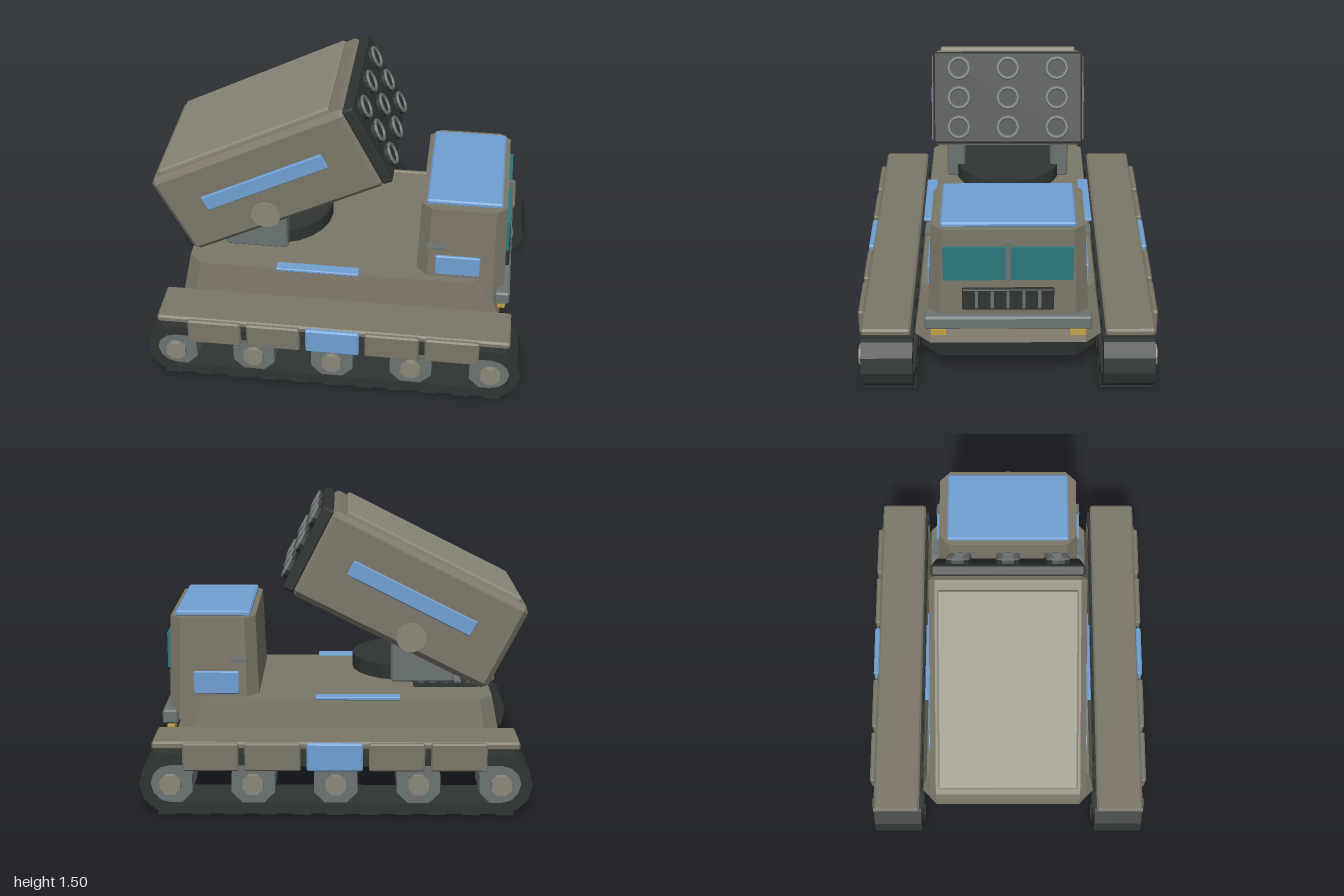
import * as THREE from 'three';
import { ConvexGeometry } from 'three/addons/geometries/ConvexGeometry.js';

const mat = (color) => new THREE.MeshStandardMaterial({ color, flatShading: true });
const KHAKI = mat(0x7b7667), PALE = mat(0x8b8778), DARK = mat(0x2f3432), GREY = mat(0x6a7272);
const BLUE = mat(0x6f9fd2), GLASS = mat(0x2b777c), GOLD = mat(0xc2a148);

function add(parent, name, geometry, material, x = 0, y = 0, z = 0) {
  const mesh = new THREE.Mesh(geometry, material);
  mesh.name = name;
  mesh.position.set(x, y, z);
  parent.add(mesh);
  return mesh;
}

// Box with chamfered edges
function bevelBox(w, h, d, b = 0.008) {
  const pts = [];
  for (const i of [-0.5, 0.5]) for (const j of [-0.5, 0.5]) for (const k of [-0.5, 0.5]) {
    const [x, y, z] = [i * w, j * h, k * d];
    const [bx, by, bz] = [i, j, k].map((s) => 2 * s * b);
    pts.push(new THREE.Vector3(x, y - by, z - bz), new THREE.Vector3(x - bx, y, z - bz), new THREE.Vector3(x - bx, y - by, z));
  }
  return new ConvexGeometry(pts);
}

// Solid through plan sections [y, xMin, xMax, halfWidth, cornerCut]
function frustum(sections) {
  const pts = [];
  for (const [y, x0, x1, hz, c] of sections) for (const s of [-1, 1]) {
    pts.push(new THREE.Vector3(x0, y, s * (hz - c)), new THREE.Vector3(x0 + c, y, s * hz),
      new THREE.Vector3(x1 - c, y, s * hz), new THREE.Vector3(x1, y, s * (hz - c)));
  }
  return new ConvexGeometry(pts);
}

// Cylinder whose axis lies along z
function disc(r, depth, sides) {
  return new THREE.CylinderGeometry(r, r, depth, sides).rotateY(Math.PI / sides).rotateX(Math.PI / 2);
}

// Long loop with faceted round ends
function loop(path, r, span = 0.83, segs = 6) {
  const pts = [];
  for (const s of [1, -1]) for (let i = 0; i <= segs; i++) {
    const a = -Math.PI / 2 + (Math.PI * i) / segs;
    pts.push(new THREE.Vector2(s * (span + r * Math.cos(a)), 0.16 + s * r * Math.sin(a)));
  }
  return path.setFromPoints(pts);
}

function buildTrack(side) {
  const track = new THREE.Group();
  track.name = side > 0 ? 'leftTrack' : 'rightTrack';
  const shape = loop(new THREE.Shape(), 0.157);
  shape.holes.push(loop(new THREE.Path(), 0.1));
  add(track, 'trackBelt', new THREE.ExtrudeGeometry(shape, { depth: 0.26, bevelEnabled: false }), DARK, 0, 0, side * 0.61 - 0.13);
  for (let i = 0; i < 11; i++) for (const y of [0.005, 0.315]) {
    add(track, 'trackPad', new THREE.BoxGeometry(0.09, 0.01, 0.274), DARK, -0.85 + i * 0.17, y, side * 0.61);
  }
  for (let i = -2; i <= 2; i++) {
    add(track, 'roadWheel', disc(0.118, 0.235, 8), GREY, i * 0.415, 0.16, side * 0.615);
    add(track, 'wheelHub', disc(0.055, 0.04, 8), PALE, i * 0.415, 0.16, side * 0.74);
    add(track, 'skirtPlate', bevelBox(0.28, 0.145, 0.03), i ? KHAKI : BLUE, 0.005 + i * 0.31, 0.308, side * 0.748);
  }
  add(track, 'fender', bevelBox(1.84, 0.04, 0.25, 0.01), KHAKI, 0, 0.36, side * 0.613);
  return track;
}

function buildCab() {
  const cab = new THREE.Group();
  cab.name = 'cab';
  add(cab, 'cabBody', frustum([[0.39, 0.4, 0.875, 0.405, 0.06], [0.93, 0.42, 0.86, 0.375, 0.055]]), KHAKI);
  add(cab, 'roofPanel', bevelBox(0.39, 0.03, 0.66), BLUE, 0.64, 0.94, 0);
  for (const s of [-1, 1]) {
    add(cab, 'windshield', new THREE.BoxGeometry(0.025, 0.185, 0.308), GLASS, 0.868, 0.745, s * 0.166);
    add(cab, 'doorPanel', bevelBox(0.235, 0.12, 0.02, 0.005), BLUE, 0.622, 0.59, s * 0.395);
    add(cab, 'doorHandle', new THREE.BoxGeometry(0.09, 0.015, 0.035), GREY, 0.505, 0.712, s * 0.404);
    add(cab, 'headlight', new THREE.BoxGeometry(0.04, 0.032, 0.08), GOLD, 0.865, 0.34, s * 0.35);
  }
  add(cab, 'windshieldBar', new THREE.BoxGeometry(0.035, 0.23, 0.026), GREY, 0.872, 0.762, 0);
  add(cab, 'grille', bevelBox(0.03, 0.12, 0.455, 0.005), DARK, 0.877, 0.543, 0);
  for (let i = -2; i <= 2; i++) add(cab, 'grilleSlat', new THREE.BoxGeometry(0.02, 0.1, 0.016), GREY, 0.887, 0.545, i * 0.078);
  add(cab, 'bumper', bevelBox(0.08, 0.075, 0.84, 0.01), GREY, 0.865, 0.408, 0);
  return cab;
}

// Built level around its own centre, then tilted up toward the front
function buildLauncher() {
  const pod = new THREE.Group();
  pod.name = 'launcherPod';
  add(pod, 'podBody', bevelBox(1.14, 0.49, 0.785, 0.03), KHAKI);
  add(pod, 'podLid', bevelBox(1.0, 0.03, 0.7, 0.008), PALE, -0.01, 0.252, 0);
  add(pod, 'muzzlePlate', bevelBox(0.06, 0.47, 0.765, 0.01), DARK, 0.585, 0, 0);
  for (let r = -1; r <= 1; r++) for (let c = -1; c <= 1; c++) {
    const [y, z] = [r * 0.151, c * 0.25];
    add(pod, 'tubeRing', new THREE.TorusGeometry(0.052, 0.01, 6, 12).rotateY(Math.PI / 2), GREY, 0.637, y, z);
    add(pod, 'tubeWall', new THREE.CylinderGeometry(0.06, 0.06, 0.04, 12).rotateZ(Math.PI / 2), DARK, 0.615, y, z);
  }
  for (const s of [-1, 1]) {
    add(pod, 'sideStripe', bevelBox(0.71, 0.085, 0.03, 0.005), BLUE, 0, 0.02, s * 0.392);
    add(pod, 'pivotCap', disc(0.078, 0.03, 16), PALE, -0.09, -0.165, s * 0.385);
  }
  pod.position.set(-0.38, 1.02, 0);
  pod.rotation.z = 0.469;
  return pod;
}

export function createModel() {
  const model = new THREE.Group();
  model.name = 'rocketLauncherVehicle';

  // Hull
  add(model, 'lowerHull', frustum([[0.15, -0.82, 0.82, 0.45, 0.1], [0.265, -0.84, 0.84, 0.44, 0.1]]), DARK);
  add(model, 'upperHull', frustum([[0.26, -0.86, 0.86, 0.475, 0.08], [0.515, -0.81, 0.765, 0.44, 0.07]]), KHAKI);
  for (const s of [-1, 1]) {
    add(model, 'deckPanel', bevelBox(0.44, 0.018, 0.06, 0.004), BLUE, -0.112, 0.522, s * 0.428);
    model.add(buildTrack(s));
  }

  // Engine vent on the rear deck
  add(model, 'engineVent', new THREE.BoxGeometry(0.34, 0.02, 0.44), DARK, -0.58, 0.524, 0);
  for (let i = 0; i < 5; i++) add(model, 'ventSlat', new THREE.BoxGeometry(0.035, 0.014, 0.4), GREY, -0.71 + i * 0.065, 0.538, 0);

  // Turret mount
  add(model, 'turntable', new THREE.CylinderGeometry(0.3, 0.3, 0.08, 24), DARK, -0.385, 0.615, 0);
  for (const s of [-1, 1]) add(model, 'mountArm', bevelBox(0.33, 0.28, 0.1, 0.01), GREY, -0.45, 0.717, s * 0.29);

  model.add(buildLauncher(), buildCab());
  return model;
}
